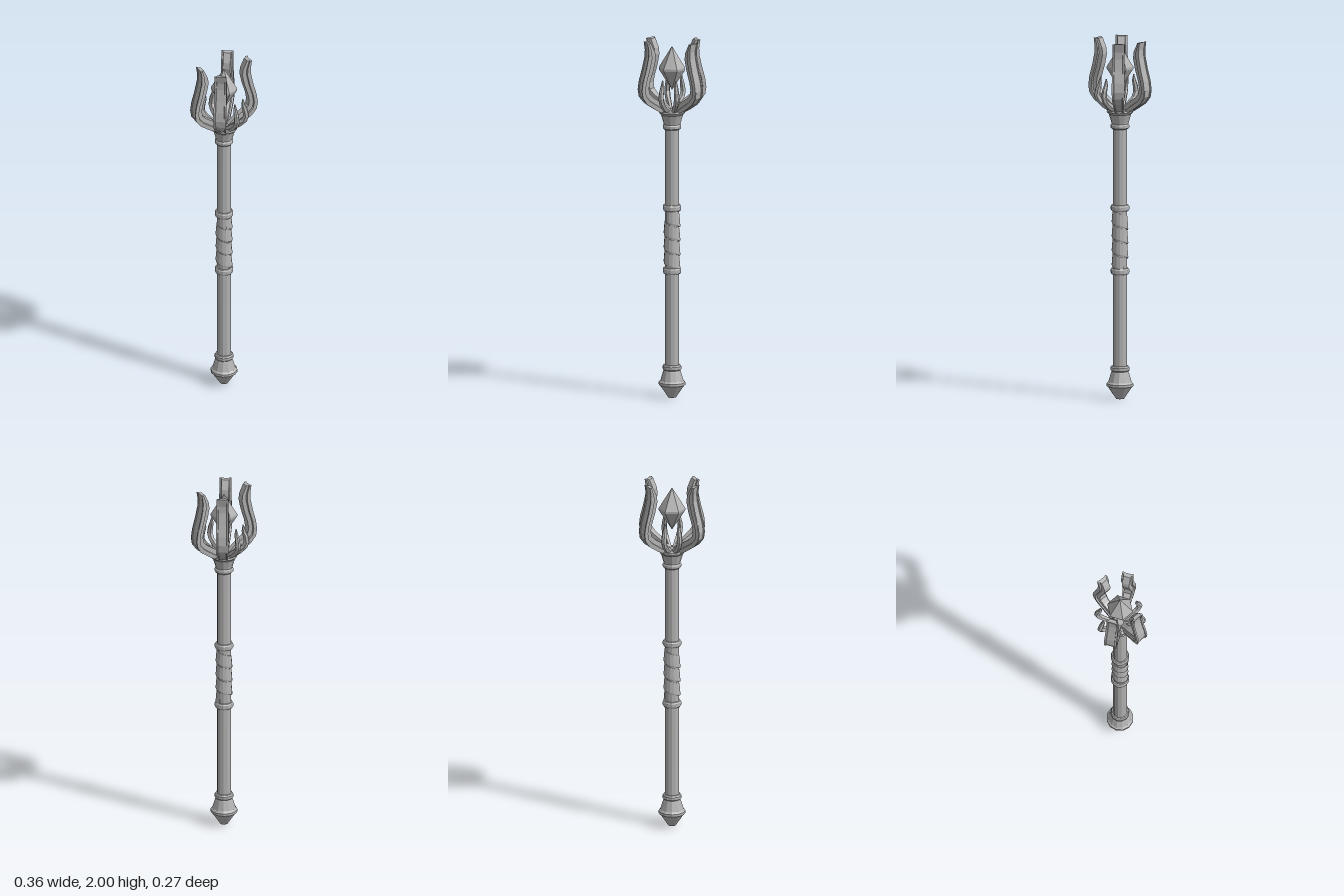
import * as THREE from 'three';

const grey = new THREE.MeshStandardMaterial({ color: 0xb2b2b2, flatShading: true });
grey.name = 'grey metal';

function add(group, name, geometry) {
  const mesh = new THREE.Mesh(geometry, grey);
  mesh.name = name;
  group.add(mesh);
  return mesh;
}

// Closed skin over a row of equal-sized rings of Vector3, with end caps
function loft(rings) {
  const n = rings[0].length, last = rings.length - 1, out = [];
  const tri = (...pts) => pts.forEach((p) => out.push(p.x, p.y, p.z));
  for (let i = 0; i < last; i++) {
    for (let j = 0; j < n; j++) {
      const k = (j + 1) % n;
      const a = rings[i][j], b = rings[i + 1][j], c = rings[i + 1][k], d = rings[i][k];
      tri(a, b, d);
      tri(b, c, d);
    }
  }
  for (const [ring, top] of [[rings[0], false], [rings[last], true]]) {
    const mid = ring.reduce((s, p) => s.add(p), new THREE.Vector3()).divideScalar(n);
    for (let j = 0; j < n; j++) {
      const p = ring[j], q = ring[(j + 1) % n];
      if (top) tri(mid, q, p); else tri(mid, p, q);
    }
  }
  const g = new THREE.BufferGeometry();
  g.setAttribute('position', new THREE.Float32BufferAttribute(out, 3));
  g.computeVertexNormals();
  return g;
}

// Prong from stations [outer r, outer y, inner r, inner y, width]
// and a section of [0 inner..1 outer, -1..1 sideways]
function prong(stations, section, angle) {
  const c = Math.cos(angle), s = Math.sin(angle);
  return loft(stations.map(([ro, yo, ri, yi, w]) => section.map(([u, v]) => {
    const r = ri + (ro - ri) * u, l = v * w / 2;
    return new THREE.Vector3(r * c - l * s, yi + (yo - yi) * u, r * s + l * c);
  })));
}

const lathe = (pts, sides = 12) =>
  new THREE.LatheGeometry(pts.map(([r, y]) => new THREE.Vector2(r, y)), sides);

export function createModel() {
  const model = new THREE.Group();
  model.name = 'sceptre';

  // Handle
  add(model, 'shaft', lathe([[0.039, 0.14], [0.039, 1.54]]));
  add(model, 'pommel', lathe([
    [0, 0], [0.022, 0.003], [0.066, 0.068], [0.074, 0.074], [0.074, 0.088], [0.064, 0.098],
    [0.049, 0.148], [0.046, 0.156], [0.052, 0.162], [0.052, 0.178], [0.046, 0.186], [0.037, 0.187],
  ]));
  add(model, 'cup', lathe([
    [0.037, 1.503], [0.046, 1.505], [0.051, 1.511], [0.051, 1.526], [0.046, 1.533],
    [0.05, 1.548], [0.062, 1.588], [0.07, 1.594], [0.073, 1.6], [0.071, 1.61], [0.05, 1.614], [0, 1.614],
  ]));
  for (const [name, y] of [['lowerGripCollar', 0.713], ['upperGripCollar', 1.065]]) {
    add(model, name, lathe([
      [0.037, -0.018], [0.046, -0.017], [0.051, -0.009], [0.051, 0.009], [0.046, 0.017], [0.037, 0.018],
    ])).position.y = y;
  }

  // Spiral grip wrap with a lip along its lower edge
  const wrap = [];
  const turns = 3.4, pitch = 0.08;
  for (let i = 0; i <= turns * 14; i++) {
    const a = i / 14 * Math.PI * 2, y = 0.755 + pitch * i / 14;
    wrap.push([[0.041, 0.036], [0.0465, -0.03], [0.045, -0.037], [0.034, -0.037], [0.034, 0.036]]
      .map(([r, dy]) => new THREE.Vector3(r * Math.cos(a), y + dy, r * Math.sin(a))));
  }
  add(model, 'gripWrap', loft(wrap));

  // Four tall prongs: a broad outer plate on a narrower inner rib
  const tall = [
    [0.045, 1.59, 0.02, 1.62, 0.044], [0.1, 1.62, 0.066, 1.66, 0.05],
    [0.155, 1.658, 0.115, 1.692, 0.06], [0.182, 1.695, 0.138, 1.715, 0.068],
    [0.188, 1.735, 0.143, 1.745, 0.07], [0.181, 1.785, 0.136, 1.785, 0.07],
    [0.163, 1.85, 0.115, 1.85, 0.068], [0.149, 1.915, 0.102, 1.91, 0.066],
    [0.147, 1.955, 0.106, 1.945, 0.065], [0.154, 2, 0.13, 1.997, 0.064],
  ];
  const plateAndRib = [
    [1, -1], [1, -0.72], [0.9, -0.66], [0.9, 0.66], [1, 0.72], [1, 1],
    [0.55, 1], [0.5, 0.72], [0, 0.62], [0, -0.62], [0.5, -0.72], [0.55, -1],
  ];
  // Four short claws with a six-sided section
  const short = [
    [0.045, 1.595, 0.02, 1.615, 0.024], [0.095, 1.625, 0.066, 1.648, 0.03],
    [0.13, 1.66, 0.1, 1.672, 0.032], [0.142, 1.692, 0.112, 1.695, 0.032],
    [0.135, 1.73, 0.108, 1.727, 0.029], [0.119, 1.765, 0.1, 1.76, 0.022],
    [0.11, 1.795, 0.105, 1.795, 0.007],
  ];
  const hexagon = [[1, -0.4], [1, 0.4], [0.55, 1], [0, 0.5], [0, -0.5], [0.55, -1]];
  const tallAngle = THREE.MathUtils.degToRad(29), shortAngle = THREE.MathUtils.degToRad(70);
  for (const half of [0, Math.PI]) {
    for (const side of [1, -1]) {
      add(model, 'tallProng', prong(tall, plateAndRib, half + side * tallAngle));
      add(model, 'shortClaw', prong(short, hexagon, half + side * shortAngle));
    }
  }

  // Floating six-sided crystal, points toward +x and -x
  const crystal = add(model, 'crystal', lathe(
    [[0, 1.725], [0.073, 1.838], [0.073, 1.85], [0, 1.97]], 6));
  crystal.rotation.y = Math.PI / 6;

  return model;
}
